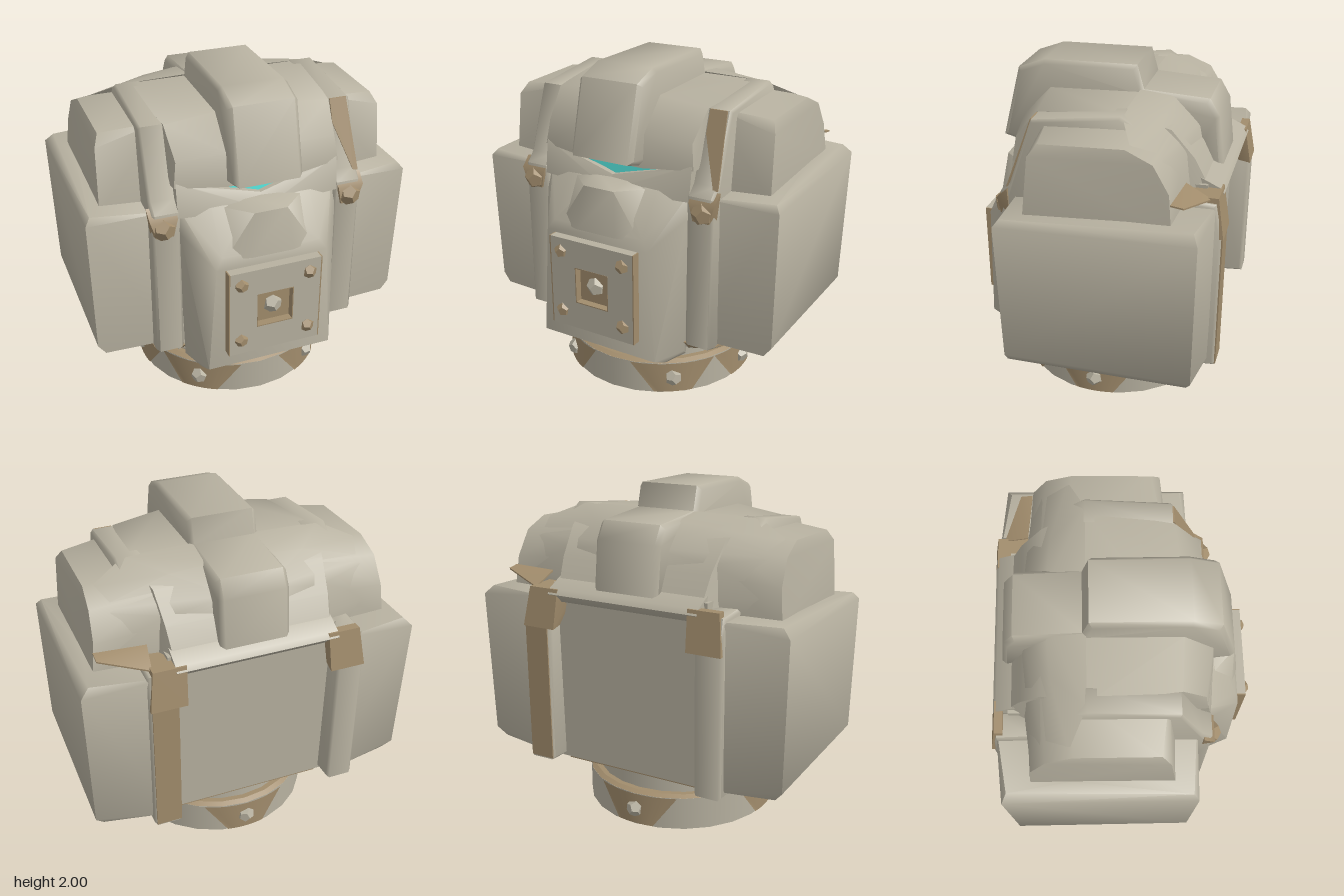
import * as THREE from 'three';
import { toCreasedNormals } from 'three/addons/utils/BufferGeometryUtils.js';
import { ConvexGeometry } from 'three/addons/geometries/ConvexGeometry.js';

const stone = new THREE.MeshStandardMaterial({ color: 0xb7b1a0 });
const bronze = new THREE.MeshStandardMaterial({ color: 0xa18c6c });
const visorGlow = new THREE.MeshStandardMaterial({ color: 0x5aeee6 });
stone.name = 'stone';
bronze.name = 'bronze';
visorGlow.name = 'visorGlow';

export function createModel() {
  const model = new THREE.Group();
  model.name = 'helmetedHead';

  const add = (name, geometry, material, x = 0, y = 0, z = 0) => {
    const mesh = new THREE.Mesh(geometry, material);
    mesh.name = name;
    mesh.position.set(x, y, z);
    model.add(mesh);
    return mesh;
  };

  // Solid around a few corner points [x, y, z]
  const hull = (name, points, material, crease = 0.95) =>
    add(name, toCreasedNormals(new ConvexGeometry(points.map(p => new THREE.Vector3(...p))), crease), material);
  const both = points => points.flatMap(([x, y, z]) => [[x, y, z], [-x, y, z]]);
  const flip = (points, s) => points.map(([x, y, z]) => [x * s, y, z]);
  const thicken = (points, dx, dy, dz) => points.flatMap(([x, y, z]) => [[x, y, z], [x + dx, y + dy, z + dz]]);

  // Side profile [z, y] extruded from x0 to x1 with chamfered edges
  const slab = (name, profile, x0, x1, bevel, material) => {
    const shape = new THREE.Shape(profile.map(([z, y]) => new THREE.Vector2(-z, y)));
    const geometry = new THREE.ExtrudeGeometry(shape, {
      depth: x1 - x0 - 2 * bevel, bevelEnabled: true, bevelSize: bevel,
      bevelThickness: bevel, bevelOffset: -bevel, bevelSegments: 1,
    });
    geometry.translate(0, 0, x0 + bevel).rotateY(Math.PI / 2);
    return add(name, toCreasedNormals(geometry, 1), material);
  };

  const stud = (name, r, material, x, y, z, turn = 0) => {
    const mesh = add(name, new THREE.DodecahedronGeometry(r, 0), material, x, y, z);
    mesh.rotation.set(0.3, turn, 0.4);
    return mesh;
  };

  // Neck and collar
  const cz = -0.03;
  add('neck', new THREE.CylinderGeometry(0.52, 0.53, 0.3, 24), stone, 0, 0.31, cz);
  add('collar', new THREE.CylinderGeometry(0.59, 0.59, 0.2, 24), stone, 0, 0.105, cz);
  add('collarBase', new THREE.CylinderGeometry(0.585, 0.57, 0.008, 24), stone, 0, 0.008, cz);
  add('collarRim', new THREE.CylinderGeometry(0.56, 0.59, 0.015, 24), bronze, 0, 0.212, cz);
  hull('baseWedge', thicken([[-0.21, 0, 0.44], [-0.14, 0, -0.56], [-0.24, 0, -0.54]], 0, 0.006, 0), bronze);

  // Tapering bronze panels wrapped on the collar
  const panel = (angle, topHalf, bottomHalf) => {
    const steps = 8, position = [], index = [];
    for (let i = 0; i <= steps; i++) {
      const t = (i / steps) * 2 - 1;
      for (const [half, y] of [[bottomHalf, 0.012], [topHalf, 0.206]]) {
        const a = angle + t * half;
        position.push(Math.sin(a) * 0.597, y, Math.cos(a) * 0.597 + cz);
      }
      if (i < steps) {
        const k = i * 2;
        index.push(k, k + 2, k + 1, k + 1, k + 2, k + 3);
      }
    }
    const geometry = new THREE.BufferGeometry();
    geometry.setAttribute('position', new THREE.Float32BufferAttribute(position, 3));
    geometry.setIndex(index);
    geometry.computeVertexNormals();
    add('collarPanel', geometry, bronze);
  };
  for (const degrees of [38, -38, 90, -90, 180]) {
    const a = THREE.MathUtils.degToRad(degrees);
    panel(a, 0.45, 0.2);
    stud('collarStud', 0.055, stone, Math.sin(a) * 0.585, 0.11, Math.cos(a) * 0.585 + cz, a);
  }

  // Inner head, with a lintel across the back
  hull('core', both([
    [0.5, 0.36, 0.45], [0.5, 0.36, -0.64], [0.5, 1.36, 0.45], [0.5, 1.46, -0.66], [0.5, 1.44, 0.36],
  ]), stone);
  hull('rearLintel', both([
    [0.48, 1.36, -0.6], [0.48, 1.36, -0.7], [0.48, 1.41, -0.75], [0.48, 1.44, -0.73], [0.48, 1.5, -0.6],
  ]), stone);
  add('undersideBand', new THREE.BoxGeometry(0.9, 0.008, 0.1), bronze, 0, 0.358, -0.59);
  hull('visor', both([[0.42, 1.35, 0.475], [0.42, 1.5, 0.462], [0.42, 1.35, 0.468], [0.42, 1.5, 0.455]]), visorGlow);

  // Skull cap and central crest
  hull('skullCap', both([
    [0.5, 1.475, 0.47], [0.2, 1.455, 0.52], [0.48, 1.62, 0.45], [0.2, 1.65, 0.5], [0.5, 1.79, 0.31],
    [0.2, 1.83, 0.33], [0.57, 1.85, -0.2], [0.5, 1.76, -0.45], [0.48, 1.6, -0.58], [0.46, 1.4, -0.68],
    [0.5, 1.46, 0.2], [0.56, 1.4, -0.5],
  ]), stone);
  slab('crest', [
    [0.45, 1.45], [0.64, 1.5], [0.53, 1.93], [0.37, 1.99], [-0.18, 2], [-0.22, 1.86],
    [-0.6, 1.84], [-0.66, 1.74], [-0.7, 1.42], [-0.5, 1.38],
  ], -0.205, 0.205, 0.025, stone);

  // Face mask, with raised shoulders leaving the visor open in the middle
  hull('mask', both([
    [0.4, 0.31, 0.6], [0.39, 0.36, 0.7], [0.34, 1.04, 0.7], [0.3, 1.1, 0.68], [0.45, 0.31, 0.44],
    [0.47, 0.36, 0.5], [0.48, 1.2, 0.5], [0.48, 1.36, 0.44], [0.3, 1.34, 0.52], [0.1, 1.34, 0.57],
  ]), stone);
  for (const s of [1, -1]) {
    hull('maskShoulder', flip([
      [0, 1.3, 0.56], [0, 1.38, 0.51], [0.18, 1.4, 0.5], [0.36, 1.455, 0.49], [0.49, 1.5, 0.47],
      [0.49, 1.3, 0.5], [0.49, 1.3, 0.4], [0, 1.3, 0.45], [0.49, 1.5, 0.42], [0, 1.38, 0.48],
    ], s), stone);
  }
  hull('noseRidge', both([
    [0.1, 1.34, 0.66], [0.13, 1.08, 0.7], [0.11, 1.37, 0.5], [0.27, 1.08, 0.66], [0.25, 1.34, 0.52],
  ]), stone, 1.1);

  // Mouth plate with a square vent and bronze flanks
  const square = (Type, h) => new Type([[-h, -h], [h, -h], [h, h], [-h, h]].map(p => new THREE.Vector2(...p)));
  const plate = square(THREE.Shape, 0.28);
  plate.holes.push(square(THREE.Path, 0.112));
  add('mouthPlate', new THREE.ExtrudeGeometry(plate, { depth: 0.06, bevelEnabled: false }), stone, 0, 0.75, 0.695);
  for (const x of [-0.283, 0.283]) add('plateFlank', new THREE.BoxGeometry(0.008, 0.56, 0.06), bronze, x, 0.75, 0.725);
  add('ventFloor', new THREE.BoxGeometry(0.23, 0.23, 0.009), bronze, 0, 0.75, 0.706);
  for (let i = 0; i < 4; i++) {
    const wall = add('ventWall', new THREE.BoxGeometry(0.224, 0.006, 0.05), bronze);
    wall.position.set(Math.sin(i * Math.PI / 2) * 0.11, 0.75 + Math.cos(i * Math.PI / 2) * 0.11, 0.731);
    wall.rotation.z = i * Math.PI / 2;
  }
  stud('ventStud', 0.06, stone, 0, 0.75, 0.7);
  for (const x of [-0.21, 0.21]) for (const y of [0.565, 0.945]) stud('plateStud', 0.046, bronze, x, y, 0.742, x);

  for (const s of [1, -1]) {
    const span = (a, b) => (s > 0 ? [a, b] : [-b, -a]);

    // Strap running round the head
    slab('strap', [
      [0.5, 0.41], [0.3, 0.34], [-0.1, 0.33], [-0.77, 0.38], [-0.77, 1.22], [-0.73, 1.41], [-0.54, 1.42],
      [-0.5, 1.58], [-0.42, 1.72], [-0.2, 1.855], [0.3, 1.79], [0.44, 1.4], [0.5, 1.34], [0.5, 1.2],
    ], ...span(0.475, 0.64), 0.015, stone);
    hull('strapFoot', flip([
      [0.47, 0.35, 0.44], [0.47, 0.42, 0.503], [0.54, 0.35, 0.4], [0.47, 0.335, 0.28], [0.643, 0.345, 0.28],
      [0.643, 0.405, 0.44], [0.643, 0.41, -0.1], [0.47, 0.4, -0.1],
    ], s), bronze);

    // Front bronze clasp with a bolt
    hull('frontClasp', flip([
      [0.49, 1.37, 0.45], [0.66, 1.37, 0.45], [0.495, 1.31, 0.515], [0.655, 1.31, 0.515],
      [0.52, 1.2, 0.51], [0.62, 1.2, 0.51], [0.5, 1.21, 0.45], [0.64, 1.21, 0.45],
    ], s), bronze);
    stud('claspBolt', 0.07, bronze, 0.575 * s, 1.25, 0.49);

    // Rear bronze clasp, deeper on the left
    const claspFront = s > 0 ? -0.54 : -0.69;
    hull('rearClasp', flip([
      [0.41, 1.44, claspFront], [0.61, 1.44, claspFront], [0.42, 1.44, -0.74], [0.61, 1.44, -0.74],
      [0.43, 1.21, -0.78], [0.64, 1.21, -0.78], [0.44, 1.22, -0.7], [0.64, 1.22, -0.7],
    ], s), bronze);

    // Large cheek block
    hull('cheekBlock', flip([
      [0.5, 0.41, 0.41], [0.93, 0.41, 0.39], [0.975, 0.47, 0.39], [0.99, 1.3, 0.41], [0.96, 1.34, 0.38],
      [0.5, 1.31, 0.42], [0.5, 0.41, -0.74], [0.92, 0.41, -0.66], [0.97, 0.47, -0.69], [0.99, 1.34, -0.7],
      [0.94, 1.39, -0.67], [0.5, 1.39, -0.74], [0.88, 1.38, -0.3],
    ], s), stone);

    // Upper temple block
    hull('templeBlock', flip([
      [0.5, 1.3, 0.29], [0.88, 1.3, 0.28], [0.87, 1.68, 0.24], [0.84, 1.745, 0.19], [0.5, 1.78, 0.24],
      [0.84, 1.765, -0.28], [0.5, 1.81, -0.28], [0.85, 1.7, -0.43], [0.5, 1.74, -0.45],
      [0.86, 1.55, -0.52], [0.5, 1.58, -0.54], [0.88, 1.35, -0.54], [0.5, 1.35, -0.56],
    ], s), stone);

    // Rounded fill from the crest down to the temple at the back
    hull('rearDome', flip([
      [0.1, 1.86, -0.2], [0.59, 1.85, -0.2], [0.1, 1.84, -0.42], [0.4, 1.81, -0.4], [0.8, 1.76, -0.3],
      [0.84, 1.69, -0.43], [0.85, 1.5, -0.52], [0.1, 1.7, -0.56], [0.45, 1.64, -0.54], [0.1, 1.4, -0.62],
      [0.8, 1.38, -0.53],
    ], s), stone, 1.1);
  }

  // Painted bands on the left side
  hull('browBand', thicken([
    [0.51, 1.79, 0.308], [0.615, 1.79, 0.308], [0.512, 1.66, 0.355], [0.615, 1.38, 0.458], [0.645, 1.38, 0.458],
  ], 0, 0, -0.008), bronze);
  add('rearBand', new THREE.BoxGeometry(0.15, 0.82, 0.008), bronze, 0.555, 0.8, -0.772);
  hull('templeBand', thicken([[0.58, 1.5, -0.555], [0.87, 1.49, -0.6], [0.6, 1.43, -0.7], [0.87, 1.5, -0.53]], 0, -0.009, 0), bronze);

  return model;
}
